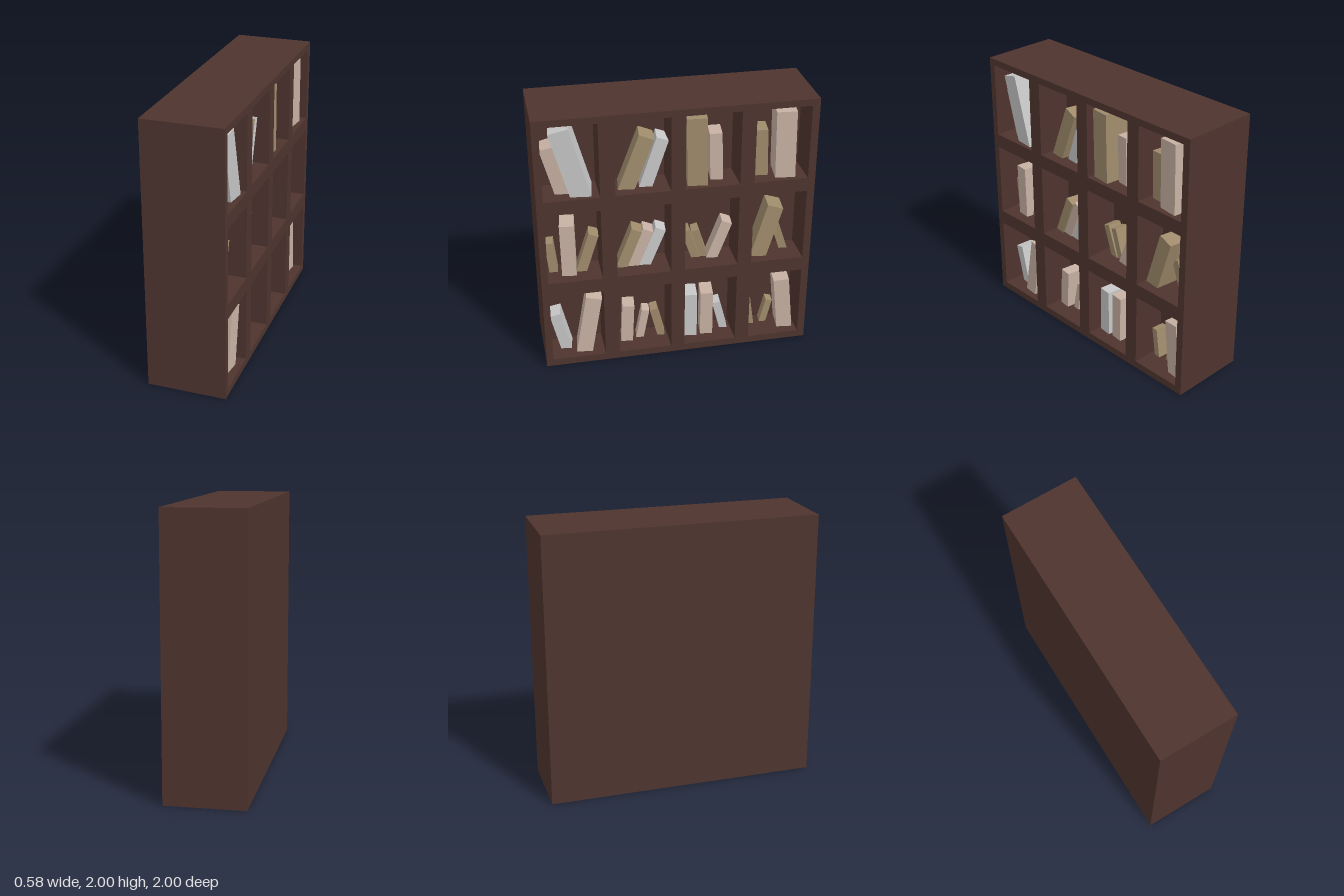
import * as THREE from 'three';

const HALF_DEPTH = 0.29;   // case depth along x, open towards +x
const CELL_BACK = 0.03;    // x of the inner back wall
const CELL_W = 0.395, CELL_H = 0.56;
const FLOORS = [1.39, 0.725, 0.055];
const CELL_Z = [0.752, 0.25, -0.248, -0.748];
const YAW = -0.12;         // every book is turned slightly

const mat = (name, color) => {
  const m = new THREE.MeshStandardMaterial({ color });
  m.name = name;
  return m;
};

// Per shelf: [z at floor, thickness, lean towards -z, length, colour]
const BOOKS = [
  [
    [0.807, 0.1, -0.26, 0.368, 'pink'], [0.684, 0.145, -0.265, 0.523, 'white'],
    [0.358, 0.112, 0.365, 0.415, 'tan'], [0.217, 0.09, 0.33, 0.38, 'white'],
    [-0.147, 0.145, -0.02, 0.515, 'tan'], [-0.299, 0.09, -0.03, 0.36, 'pink'],
    [-0.631, 0.09, -0.03, 0.356, 'tan'], [-0.788, 0.145, -0.02, 0.511, 'pink'],
  ],
  [
    [0.897, 0.06, -0.1, 0.243, 'tan'], [0.789, 0.105, -0.01, 0.412, 'pink'],
    [0.695, 0.075, 0.32, 0.308, 'tan'],
    [0.399, 0.08, 0.375, 0.319, 'tan'], [0.313, 0.08, 0.38, 0.309, 'pink'],
    [0.225, 0.08, 0.39, 0.313, 'white'],
    [-0.163, 0.06, -0.34, 0.245, 'tan'], [-0.225, 0.055, -0.3, 0.239, 'tan'],
    [-0.281, 0.08, 0.36, 0.31, 'pink'],
    [-0.623, 0.118, 0.285, 0.423, 'tan'], [-0.84, 0.06, -0.32, 0.24, 'tan'],
  ],
  [
    [0.837, 0.08, -0.23, 0.319, 'white'], [0.706, 0.118, 0.18, 0.474, 'pink'],
    [0.372, 0.09, 0.05, 0.314, 'pink'], [0.267, 0.058, 0.19, 0.244, 'pink'],
    [0.102, 0.055, -0.24, 0.247, 'tan'],
    [-0.118, 0.098, 0, 0.37, 'white'], [-0.243, 0.095, 0, 0.37, 'pink'],
    [-0.39, 0.058, -0.25, 0.247, 'white'],
    [-0.612, 0.05, -0.14, 0.228, 'tan'], [-0.711, 0.05, 0.24, 0.199, 'tan'],
    [-0.861, 0.118, -0.1, 0.436, 'pink'],
  ],
];

// Rectangle outline, centred on cx and standing on y
function rect(target, cx, y, w, h) {
  target.moveTo(cx - w / 2, y);
  target.lineTo(cx + w / 2, y);
  target.lineTo(cx + w / 2, y + h);
  target.lineTo(cx - w / 2, y + h);
  target.closePath();
  return target;
}

function makeCase(wood) {
  const group = new THREE.Group();
  group.name = 'bookcase';

  // Frame with twelve square openings
  const outline = rect(new THREE.Shape(), 0, 0, 2, 2);
  for (const y of FLOORS)
    for (const z of CELL_Z)
      outline.holes.push(rect(new THREE.Path(), -z, y, CELL_W, CELL_H));
  const frameGeo = new THREE.ExtrudeGeometry(outline, {
    depth: HALF_DEPTH - CELL_BACK, bevelEnabled: false,
  });
  frameGeo.rotateY(Math.PI / 2);
  const frame = new THREE.Mesh(frameGeo, wood);
  frame.name = 'shelfFrame';
  frame.position.x = CELL_BACK;

  // Solid back
  const back = new THREE.Mesh(new THREE.BoxGeometry(HALF_DEPTH + CELL_BACK, 2, 2), wood);
  back.name = 'backPanel';
  back.position.set((CELL_BACK - HALF_DEPTH) / 2, 1, 0);

  group.add(frame, back);
  return group;
}

// Leaning book whose lower corner sinks into the shelf; taller books are deeper
function makeBook([z, thickness, lean, length, colour], floor, mats) {
  const depth = 0.43 * length;
  const sink = (thickness / 2) * Math.tan(Math.abs(lean)) + 0.004;
  const geo = new THREE.BoxGeometry(depth, length + sink, thickness);
  geo.translate(-depth / 2, (length - sink) / 2, 0);
  const book = new THREE.Mesh(geo, mats[colour]);
  book.name = colour + 'Book';
  book.position.set(CELL_BACK + depth, floor, z);
  book.rotation.set(-lean, YAW, 0);
  return book;
}

export function createModel() {
  const wood = mat('dark wood', 0x4e342e);
  const mats = {
    white: mat('light grey cover', 0xc8c8c8),
    pink: mat('pale pink cover', 0xc8b2a4),
    tan: mat('tan cover', 0xa08c6c),
  };
  const model = new THREE.Group();
  model.name = 'filledBookcase';
  model.add(makeCase(wood));

  const books = new THREE.Group();
  books.name = 'books';
  BOOKS.forEach((row, i) => row.forEach((b) => books.add(makeBook(b, FLOORS[i], mats))));
  model.add(books);
  return model;
}
